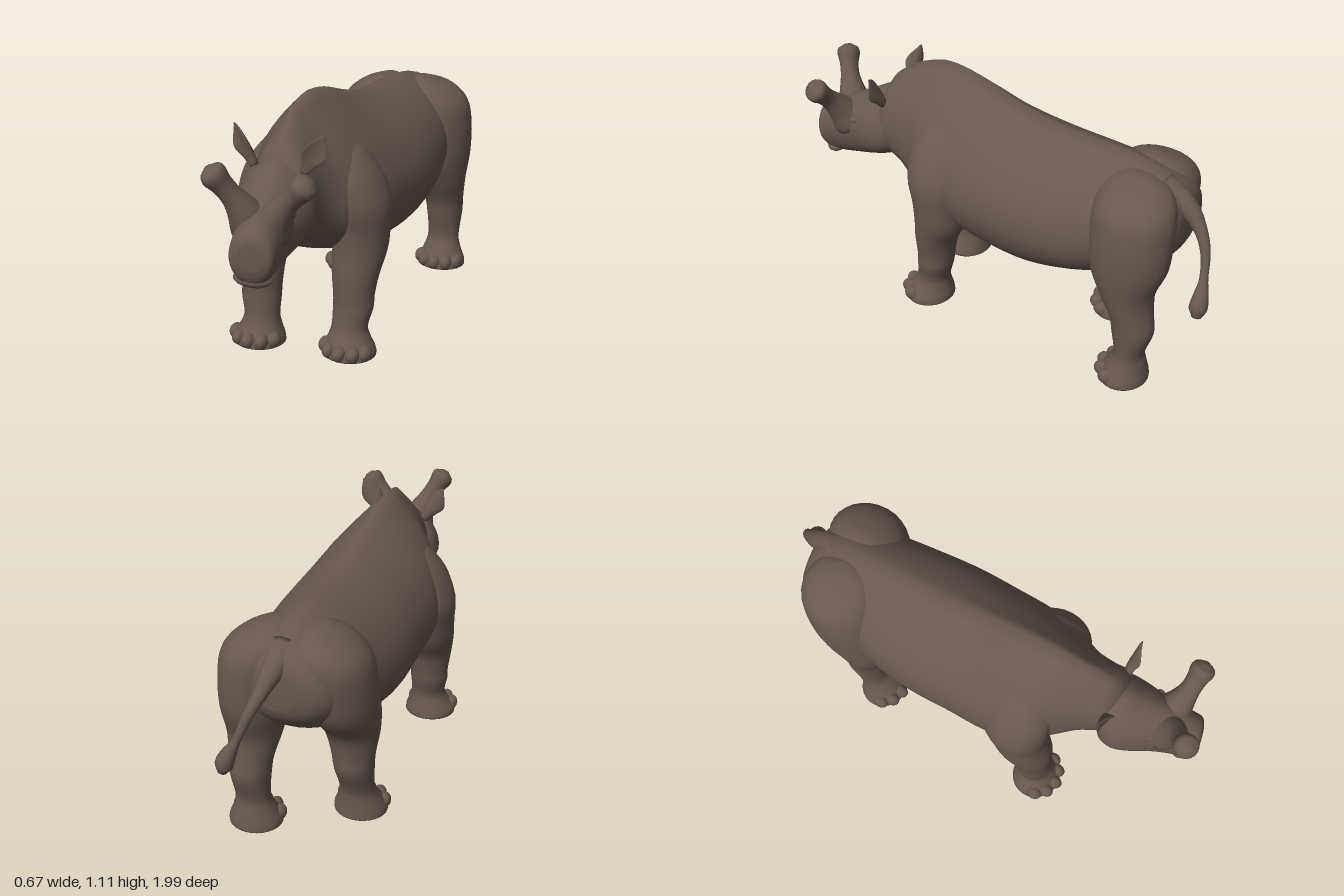
import * as THREE from 'three';

const hide = new THREE.MeshStandardMaterial({ color: 0x67584f });
hide.name = 'brownHide';

// Catmull-Rom resampling of rows of numbers
function resample(rows, sub) {
  const out = [], last = rows.length - 1;
  for (let i = 0; i < last; i++) {
    const a = rows[Math.max(i - 1, 0)], b = rows[i], c = rows[i + 1], d = rows[Math.min(i + 2, last)];
    for (let s = 0; s < sub; s++) {
      const t = s / sub;
      out.push(b.map((v, j) => {
        const cubic = 3 * (v - c[j]) + d[j] - a[j];
        const square = 2 * a[j] - 5 * v + 4 * c[j] - d[j];
        return v + 0.5 * t * (c[j] - a[j] + t * (square + t * cubic));
      }));
    }
  }
  out.push(rows[last]);
  return out;
}

function named(name, object) {
  object.name = name;
  return object;
}

// Closed smooth skin over rings; point(row, angle) gives [x, y, z]
function loft(name, rows, point, n = 28, sub = 4) {
  const rings = resample(rows, sub), pos = [], idx = [];
  rings.forEach(r => {
    for (let i = 0; i < n; i++) pos.push(...point(r, i / n * Math.PI * 2));
  });
  const at = (k, i) => k * n + i % n;
  for (let k = 0; k < rings.length - 1; k++) {
    for (let i = 0; i < n; i++) {
      idx.push(at(k, i), at(k, i + 1), at(k + 1, i), at(k, i + 1), at(k + 1, i + 1), at(k + 1, i));
    }
  }
  // End caps
  [0, rings.length - 1].forEach(k => {
    const c = [0, 0, 0];
    for (let i = 0; i < n; i++) for (let j = 0; j < 3; j++) c[j] += pos[at(k, i) * 3 + j] / n;
    const centre = pos.length / 3;
    pos.push(...c);
    for (let i = 0; i < n; i++) idx.push(centre, at(k, k ? i : i + 1), at(k, k ? i + 1 : i));
  });
  // Turn the faces outward if the enclosed volume is negative
  const v = [0, 1, 2].map(() => new THREE.Vector3());
  let volume = 0;
  for (let i = 0; i < idx.length; i += 3) {
    v.forEach((p, j) => p.fromArray(pos, idx[i + j] * 3));
    volume += v[0].dot(v[1].clone().cross(v[2]));
  }
  if (volume < 0) idx.reverse();
  const g = new THREE.BufferGeometry();
  g.setAttribute('position', new THREE.Float32BufferAttribute(pos, 3));
  g.setIndex(idx);
  g.computeVertexNormals();
  return named(name, new THREE.Mesh(g, hide));
}

// Round tapering sweep through [x, y, z, radius]
function sweep(name, pts) {
  const curve = new THREE.CatmullRomCurve3(pts.map(p => new THREE.Vector3(p[0], p[1], p[2])));
  const segs = (pts.length - 1) * 5, frames = curve.computeFrenetFrames(segs);
  const rows = resample(pts.map(p => [p[3]]), 5).map((r, i) => [i, r[0]]);
  return loft(name, rows, ([i, r], a) => curve.getPoint(i / segs)
    .addScaledVector(frames.normals[i], r * Math.cos(a))
    .addScaledVector(frames.binormals[i], r * Math.sin(a)).toArray(), 16, 1);
}

function ball(name, x, y, z, sx, sy, sz) {
  const m = new THREE.Mesh(new THREE.SphereGeometry(1, 18, 12), hide);
  m.position.set(x, y, z);
  m.scale.set(sx, sy, sz);
  return named(name, m);
}

// Leg rows: y, x, z, half width, half depth, z shift of the right leg
const foreRows = [
  [0.93, 0.12, 0.26, 0.02, 0.04, 0], [0.88, 0.14, 0.26, 0.072, 0.09, 0.01],
  [0.78, 0.175, 0.26, 0.11, 0.14, 0.02], [0.66, 0.2, 0.252, 0.13, 0.148, 0.03],
  [0.55, 0.208, 0.25, 0.118, 0.128, 0.05], [0.45, 0.205, 0.255, 0.114, 0.118, 0.07],
  [0.35, 0.2, 0.285, 0.1, 0.095, 0.08], [0.25, 0.197, 0.295, 0.087, 0.083, 0.08],
  [0.2, 0.197, 0.3, 0.086, 0.08, 0.08], [0.12, 0.19, 0.318, 0.077, 0.073, 0.075],
  [0.07, 0.193, 0.33, 0.092, 0.088, 0.07], [0.03, 0.197, 0.338, 0.113, 0.105, 0.07],
  [0.004, 0.197, 0.338, 0.116, 0.108, 0.07],
];
const hindRows = [
  [0.94, 0.08, -0.62, 0.03, 0.05, 0.02], [0.9, 0.105, -0.64, 0.105, 0.13, 0.03],
  [0.83, 0.135, -0.65, 0.15, 0.168, 0.04], [0.72, 0.158, -0.652, 0.15, 0.176, 0.06],
  [0.58, 0.17, -0.652, 0.138, 0.168, 0.09], [0.45, 0.178, -0.657, 0.115, 0.118, 0.15],
  [0.34, 0.183, -0.688, 0.092, 0.093, 0.18], [0.26, 0.185, -0.7, 0.083, 0.09, 0.195],
  [0.15, 0.185, -0.692, 0.075, 0.064, 0.215], [0.09, 0.185, -0.683, 0.086, 0.08, 0.23],
  [0.03, 0.185, -0.672, 0.112, 0.103, 0.24], [0.004, 0.185, -0.672, 0.114, 0.105, 0.24],
];

function leg(name, side, rows) {
  const group = named(name, new THREE.Group());
  group.add(loft(name + 'Limb', rows, ([y, x, z, w, d, shift], a) =>
    [side * x + w * Math.cos(a), y, z + d * Math.sin(a) + (side < 0 ? shift : 0)]));
  // Toes fanned around the front of the foot
  const [, x, z, w, d, shift] = rows[rows.length - 1];
  const footZ = z + (side < 0 ? shift : 0);
  for (let i = -2; i <= 2; i++) {
    const a = i * 0.58;
    group.add(ball('toe', side * x + w * 0.86 * Math.sin(a), 0.035, footZ + d * 0.86 * Math.cos(a), 0.029, 0.034, 0.036));
  }
  return group;
}

// Rounded section: depth, centre x, top, bottom, half width, widest height, ridge sharpness
function section([z, x, top, bottom, w, mid, ridge], a) {
  const s = Math.sin(a), linear = Math.asin(s) / (Math.PI / 2);
  const y = s > 0 ? mid + (top - mid) * (s + (linear - s) * ridge) : mid + (mid - bottom) * s;
  return [x + w * Math.cos(a), y, z];
}

export function createModel() {
  const model = named('hornedBeast', new THREE.Group());

  // Trunk and neck
  const trunk = [
    [0.65, 0.045, 0.87, 0.68, 0.07, 0.78, 0.2], [0.6, 0.04, 0.98, 0.61, 0.13, 0.78, 0.4],
    [0.52, 0.025, 1.045, 0.55, 0.15, 0.74, 0.5], [0.44, 0.01, 1.085, 0.49, 0.19, 0.69, 0.7],
    [0.33, 0, 1.11, 0.44, 0.26, 0.66, 0.85], [0.18, 0, 1.09, 0.385, 0.295, 0.64, 0.85],
    [0, 0.005, 1.03, 0.345, 0.3, 0.63, 0.7], [-0.2, 0.005, 0.985, 0.34, 0.303, 0.62, 0.5],
    [-0.4, 0.005, 0.975, 0.385, 0.28, 0.62, 0.4], [-0.55, 0.005, 0.968, 0.44, 0.25, 0.66, 0.4],
    [-0.7, 0.005, 0.932, 0.52, 0.235, 0.7, 0.3], [-0.79, 0.005, 0.88, 0.6, 0.18, 0.72, 0.2],
    [-0.82, 0.005, 0.82, 0.66, 0.08, 0.73, 0.2],
  ];
  model.add(loft('trunk', trunk, section, 40));

  for (const side of [1, -1]) {
    const word = side > 0 ? 'left' : 'right';
    model.add(leg(word + 'Foreleg', side, foreRows), leg(word + 'HindLeg', side, hindRows));
  }

  // Tail with a tuft
  model.add(sweep('tail', [
    [0.01, 0.86, -0.7, 0.07], [0.015, 0.825, -0.81, 0.046], [0.035, 0.755, -0.885, 0.028],
    [0.065, 0.68, -0.93, 0.021], [0.105, 0.58, -0.952, 0.018], [0.135, 0.52, -0.96, 0.031],
    [0.155, 0.47, -0.963, 0.037], [0.165, 0.435, -0.963, 0.02],
  ]));

  // Head, turned a little to its left
  const head = named('head', new THREE.Group());
  head.position.set(0.02, 0.7, 0.6);
  head.rotation.set(0, 0.27, -0.07, 'YXZ');
  const skull = [
    [-0.04, 0, 0.12, -0.03, 0.08, 0.05, 0], [-0.02, 0, 0.21, -0.085, 0.135, 0.04, 0],
    [0.04, 0, 0.23, -0.105, 0.16, 0.02, 0.4], [0.12, 0, 0.19, -0.13, 0.145, 0.01, 0.3],
    [0.2, 0, 0.15, -0.152, 0.116, 0, 0.1], [0.28, 0, 0.115, -0.165, 0.096, -0.02, 0],
    [0.34, 0, 0.085, -0.16, 0.09, -0.03, 0], [0.375, 0, 0.06, -0.125, 0.08, -0.03, 0],
    [0.388, 0, 0.025, -0.08, 0.05, -0.03, 0],
  ];
  head.add(loft('skull', skull, section, 32));
  head.add(ball('lowerLip', 0, -0.135, 0.325, 0.076, 0.03, 0.048));
  head.add(ball('upperLip', 0, -0.075, 0.348, 0.084, 0.035, 0.04));

  for (const side of [1, -1]) {
    // Forked nose horns with knobbed ends
    head.add(sweep('horn', [
      [side * 0.035, 0.03, 0.23, 0.085], [side * 0.065, 0.105, 0.262, 0.062], [side * 0.105, 0.165, 0.285, 0.043],
      [side * 0.14, 0.21, 0.3, 0.043], [side * 0.163, 0.24, 0.31, 0.051], [side * 0.177, 0.26, 0.316, 0.045],
      [side * 0.187, 0.275, 0.32, 0.016],
    ]));
    head.add(ball('eye', side * 0.1, 0.075, 0.18, 0.016, 0.013, 0.02));
    const brow = named('brow', new THREE.Mesh(new THREE.TorusGeometry(0.026, 0.008, 8, 18, Math.PI), hide));
    brow.position.set(side * 0.1, 0.075, 0.18);
    brow.rotation.set(-0.5, side * 1.3, 0, 'YXZ');
    head.add(brow);
    const nostril = named('nostril', new THREE.Mesh(new THREE.TorusGeometry(0.012, 0.005, 8, 16), hide));
    nostril.position.set(side * 0.05, -0.015, 0.378);
    nostril.rotation.y = side * 0.6;
    head.add(nostril);

    // Cupped leaf-shaped ears: height, half width, thickness
    const ear = loft('ear', [
      [-0.03, 0.018, 0.018], [0.02, 0.032, 0.017], [0.06, 0.046, 0.012], [0.1, 0.036, 0.008], [0.15, 0.003, 0.003],
    ], ([y, w, t], a) => {
      const x = w * Math.cos(a);
      return [x, y, t * Math.sin(a) + 9 * x * x - 0.01];
    }, 20);
    ear.position.set(side > 0 ? 0.155 : -0.088, 0.905, side > 0 ? 0.605 : 0.62);
    ear.rotation.set(0, side * 0.35, -side * 0.5, 'ZYX');
    model.add(ear);
  }
  model.add(head);
  return model;
}
